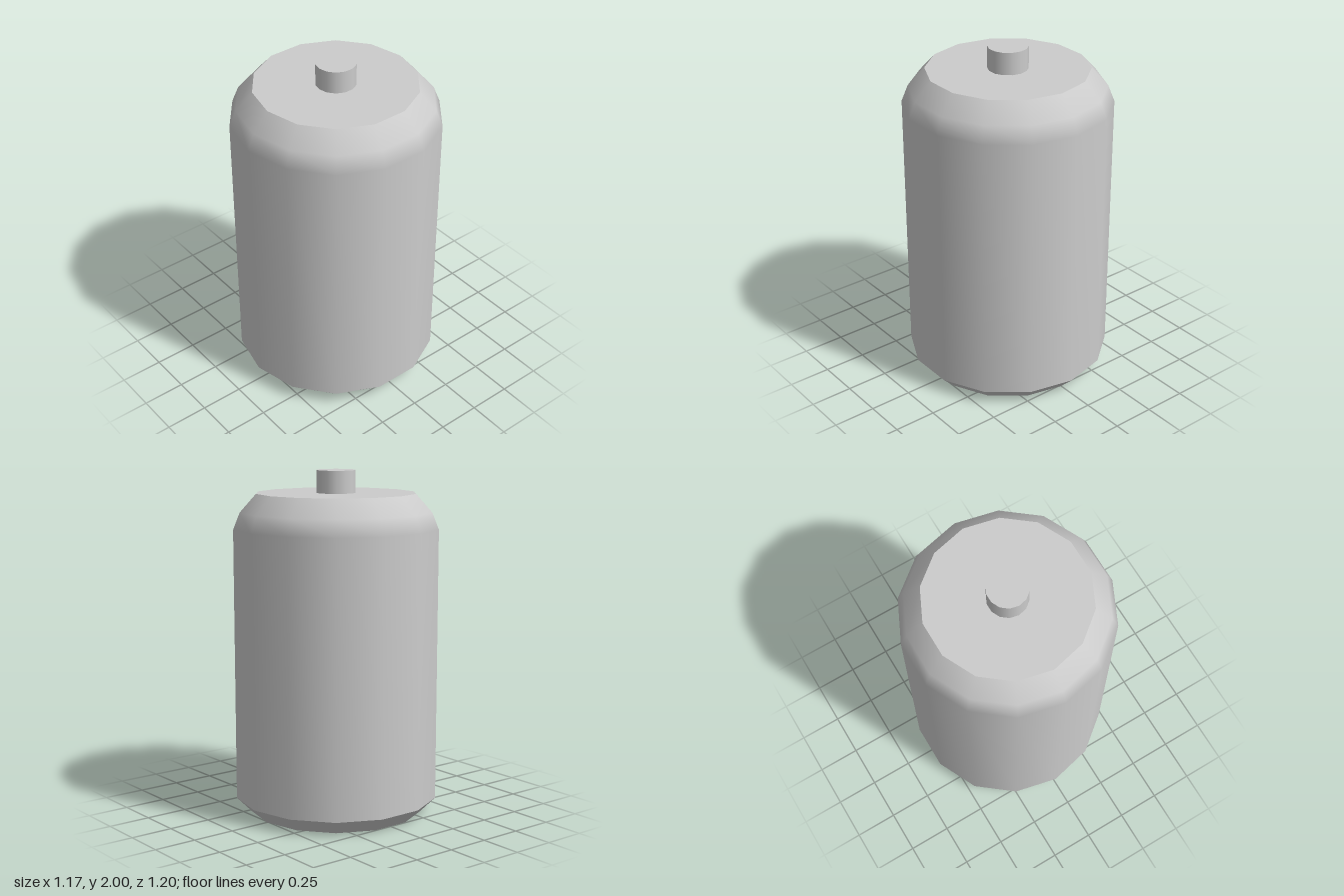
import * as THREE from 'three';

const SIDES = 14;
const material = new THREE.MeshStandardMaterial({ color: 0xcccccc });

// One smooth ring of surface; separate rings meet in sharp edges.
function ring(name, profile) {
  const points = profile.map(([r, y]) => new THREE.Vector2(r, y));
  const mesh = new THREE.Mesh(new THREE.LatheGeometry(points, SIDES), material);
  mesh.name = name;
  return mesh;
}

export function createModel() {
  const model = new THREE.Group();
  model.name = 'canister';

  // Canister body, from the base up to the lid
  const body = new THREE.Group();
  body.name = 'body';
  body.add(
    ring('base', [[0, 0], [0.508, 0]]),
    ring('baseChamfer', [[0.508, 0], [0.598, 0.09]]),
    ring('wallAndShoulder', [[0.598, 0.09], [0.598, 1.67], [0.56, 1.765], [0.465, 1.87]]),
    ring('lid', [[0.465, 1.87], [0, 1.87]])
  );

  // Short post on the lid
  const post = new THREE.Group();
  post.name = 'topPost';
  post.add(
    ring('postWall', [[0.115, 1.87], [0.115, 2]]),
    ring('postCap', [[0.115, 2], [0, 2]])
  );

  model.add(body, post);
  return model;
}
